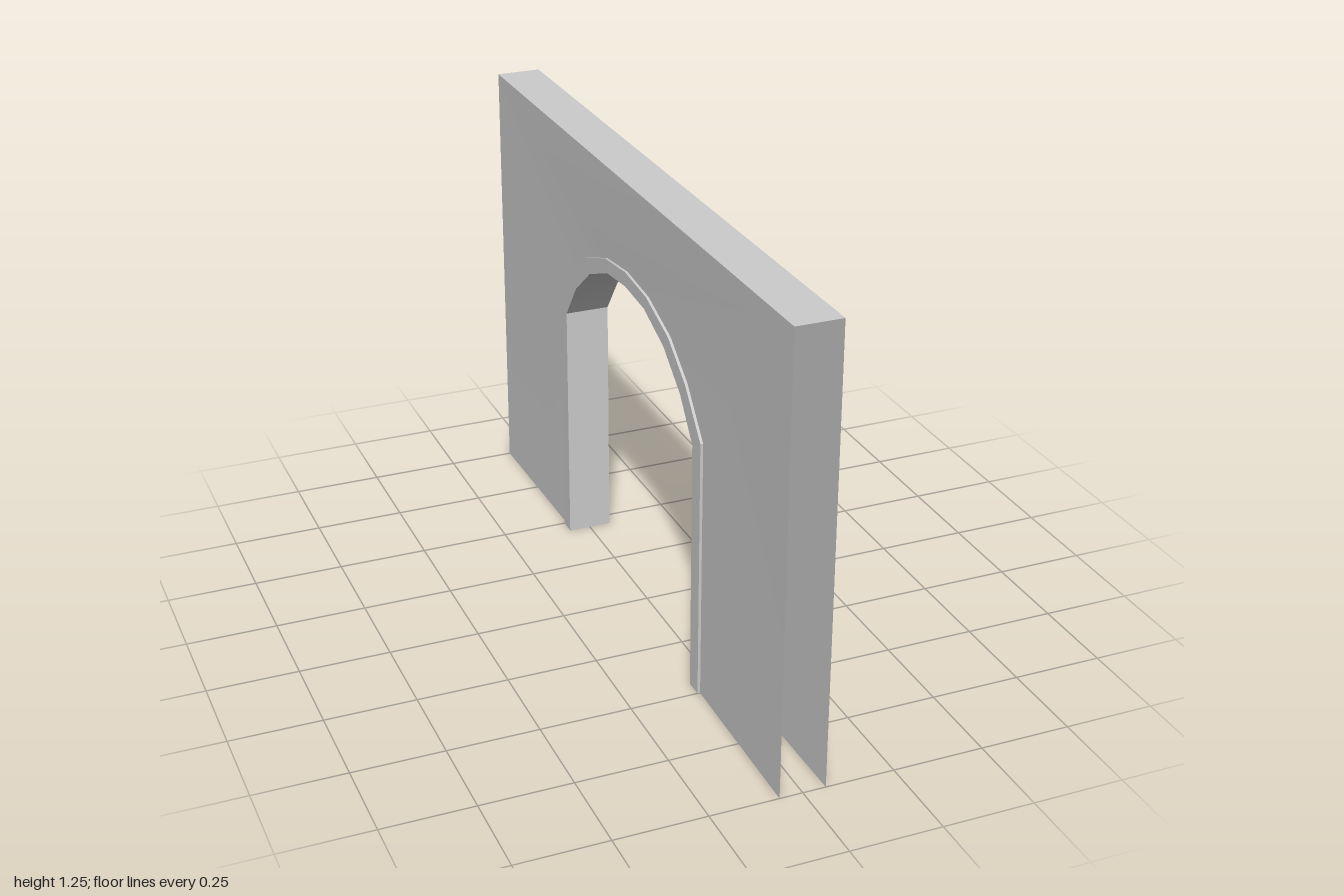
import * as THREE from 'three';
import { toCreasedNormals } from 'three/addons/utils/BufferGeometryUtils.js';

const H = 1.25, OUT = 0.0625, IN = 0.055;
const material = new THREE.MeshStandardMaterial({ color: 0xcccccc, side: THREE.DoubleSide });

// Half profiles [z, y] from floor to crown, mirrored into whole arches
const mirror = half => [
  ...half.map(([z, y]) => [-z, y]),
  ...half.slice(0, -1).reverse(),
];
const rim = mirror([[0.5, 0], [0.5, 0.73], [0.4, 0.85], [0.29, 0.933], [0.145, 0.985], [0, 1]]);
const opening = mirror([[0.45, 0], [0.45, 0.703], [0.37, 0.81], [0.26, 0.896], [0.13, 0.948], [0, 0.96]]);

// Strip of quads between two profiles lying at given x positions
function strip(profileA, xa, profileB, xb) {
  const pos = [];
  for (let i = 0; i < profileA.length - 1; i++) {
    const a = [xa, profileA[i][1], profileA[i][0]];
    const b = [xb, profileB[i][1], profileB[i][0]];
    const c = [xb, profileB[i + 1][1], profileB[i + 1][0]];
    const d = [xa, profileA[i + 1][1], profileA[i + 1][0]];
    pos.push(...a, ...b, ...c, ...a, ...c, ...d);
  }
  const g = new THREE.BufferGeometry();
  g.setAttribute('position', new THREE.Float32BufferAttribute(pos, 3));
  return toCreasedNormals(g, 0.55);
}

// Wall sheet: full width at its outer edge, slightly sunk at the arch
function wallSheet(side) {
  const outline = [[-1, 0], ...rim, [1, 0], [1, H], [-1, H]];
  const shape = new THREE.Shape(outline.map(([z, y]) => new THREE.Vector2(z, y)));
  const g = new THREE.ShapeGeometry(shape);
  g.rotateY(side * Math.PI / 2);
  const p = g.attributes.position;
  for (let i = 0; i < p.count; i++) {
    const outer = Math.abs(p.getZ(i)) > 0.9 || p.getY(i) > 1.2;
    p.setX(i, side * (outer ? OUT : IN));
  }
  return toCreasedNormals(g, 0.55);
}

export function createModel() {
  const group = new THREE.Group();
  const add = (name, geometry) => {
    const mesh = new THREE.Mesh(geometry, material);
    mesh.name = name;
    group.add(mesh);
  };

  // Both faces, each with a raised trim around the opening
  for (const side of [1, -1]) {
    const label = side > 0 ? 'left' : 'right';
    add(label + 'Wall', wallSheet(side));
    add(label + 'TrimFace', side > 0
      ? strip(opening, OUT, rim, OUT)
      : strip(rim, -OUT, opening, -OUT));
    add(label + 'TrimEdge', side > 0
      ? strip(rim, OUT, rim, IN)
      : strip(rim, -IN, rim, -OUT));
  }

  // Lining of the opening
  add('archLining', strip(opening, -OUT, opening, OUT));

  // Top cap; ends and underside stay open
  add('topCap', new THREE.PlaneGeometry(2 * OUT, 2).rotateX(-Math.PI / 2).translate(0, H, 0));

  return group;
}
